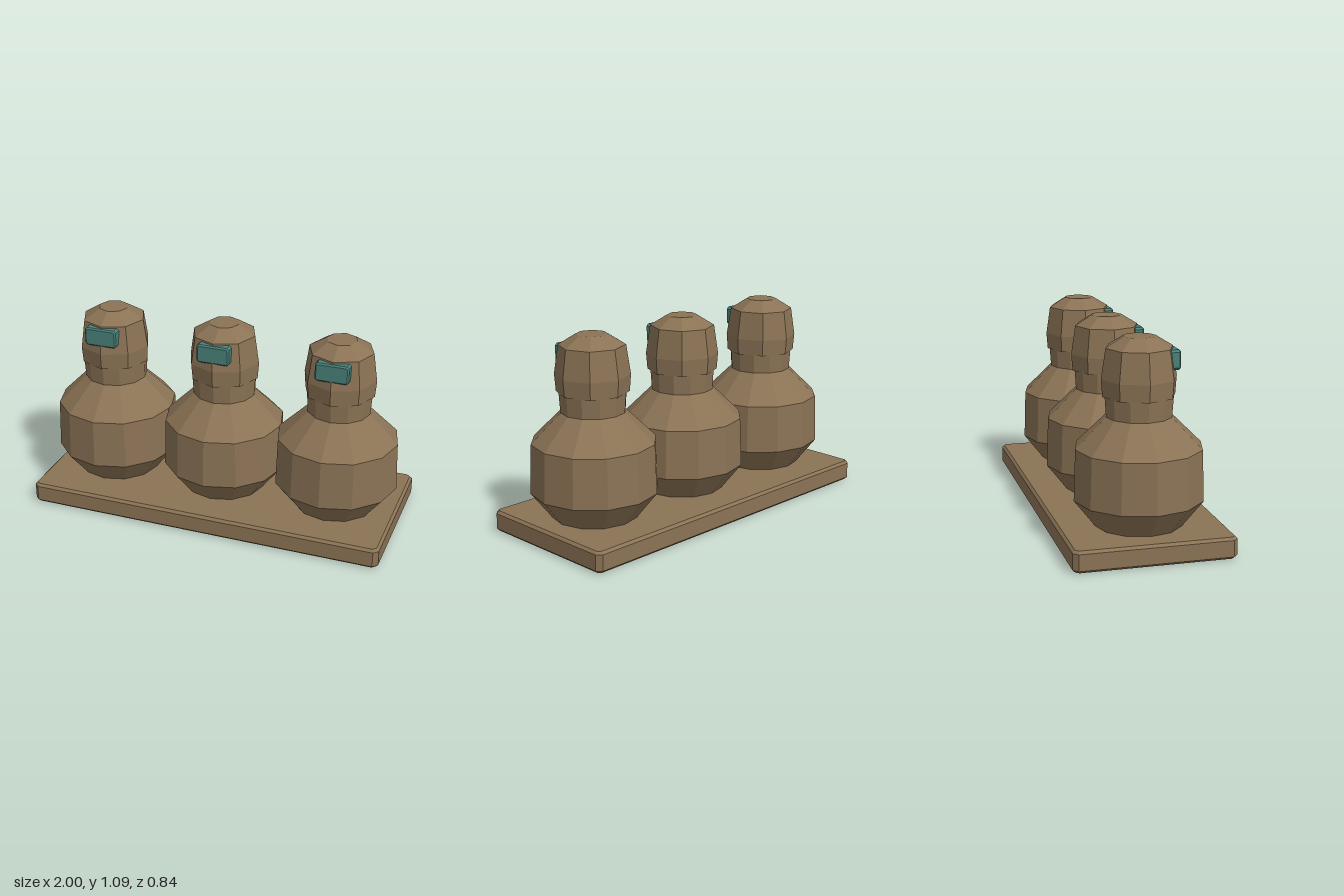
import * as THREE from 'three';

const clay = new THREE.MeshStandardMaterial({ color: 0x8b7355, flatShading: true });
const teal = new THREE.MeshStandardMaterial({ color: 0x4a8078, flatShading: true });

function mesh(name, geometry, material) {
  const m = new THREE.Mesh(geometry, material);
  m.name = name;
  return m;
}

// Faceted solid of revolution from [radius, y] pairs, bottom to top
function turned(profile, sides) {
  return new THREE.LatheGeometry(profile.map(([r, y]) => new THREE.Vector2(r, y)), sides);
}

// Box of w x d in plan and height h, centred, with cut corners c and chamfered rims b
function chamferedBox(w, d, h, c, b) {
  const x = w / 2 - b, y = d / 2 - b, k = c - b * 0.6;
  const shape = new THREE.Shape([
    [x - k, -y], [x, -y + k], [x, y - k], [x - k, y],
    [-x + k, y], [-x, y - k], [-x, -y + k], [-x + k, -y],
  ].map(([px, py]) => new THREE.Vector2(px, py)));
  const g = new THREE.ExtrudeGeometry(shape, {
    depth: h - 2 * b, bevelEnabled: true, bevelSize: b, bevelThickness: b, bevelSegments: 1,
  });
  return g.translate(0, 0, -h / 2 + b);
}

function createFigure() {
  const figure = new THREE.Group();
  figure.name = 'figure';

  // Round twelve-sided body running up into the neck
  figure.add(mesh('body', turned([
    [0, 0.105], [0.222, 0.105], [0.339, 0.255], [0.33, 0.522],
    [0.171, 0.68], [0.178, 0.785], [0.178, 0.83], [0, 0.83],
  ], 12), clay));

  // Eight-sided head with a flat crown
  figure.add(mesh('head', turned([
    [0, 0.785], [0.19, 0.785], [0.197, 0.875], [0.174, 1.03], [0.083, 1.086], [0, 1.086],
  ], 8), clay));

  // Face plate set into the front of the head
  const visor = mesh('visor', chamferedBox(0.182, 0.102, 0.09, 0.012, 0.008), teal);
  visor.position.set(0, 0.97, 0.146);
  figure.add(visor);
  return figure;
}

export function createModel() {
  const model = new THREE.Group();
  model.name = 'figuresOnBase';

  // Slab base
  const base = mesh('base', chamferedBox(2, 0.844, 0.114, 0.026, 0.014), clay);
  base.rotation.x = -Math.PI / 2;
  base.position.y = 0.057;
  model.add(base);

  // Three matching figures in a row
  for (const x of [-0.65, 0, 0.65]) {
    const figure = createFigure();
    figure.position.x = x;
    model.add(figure);
  }
  return model;
}
